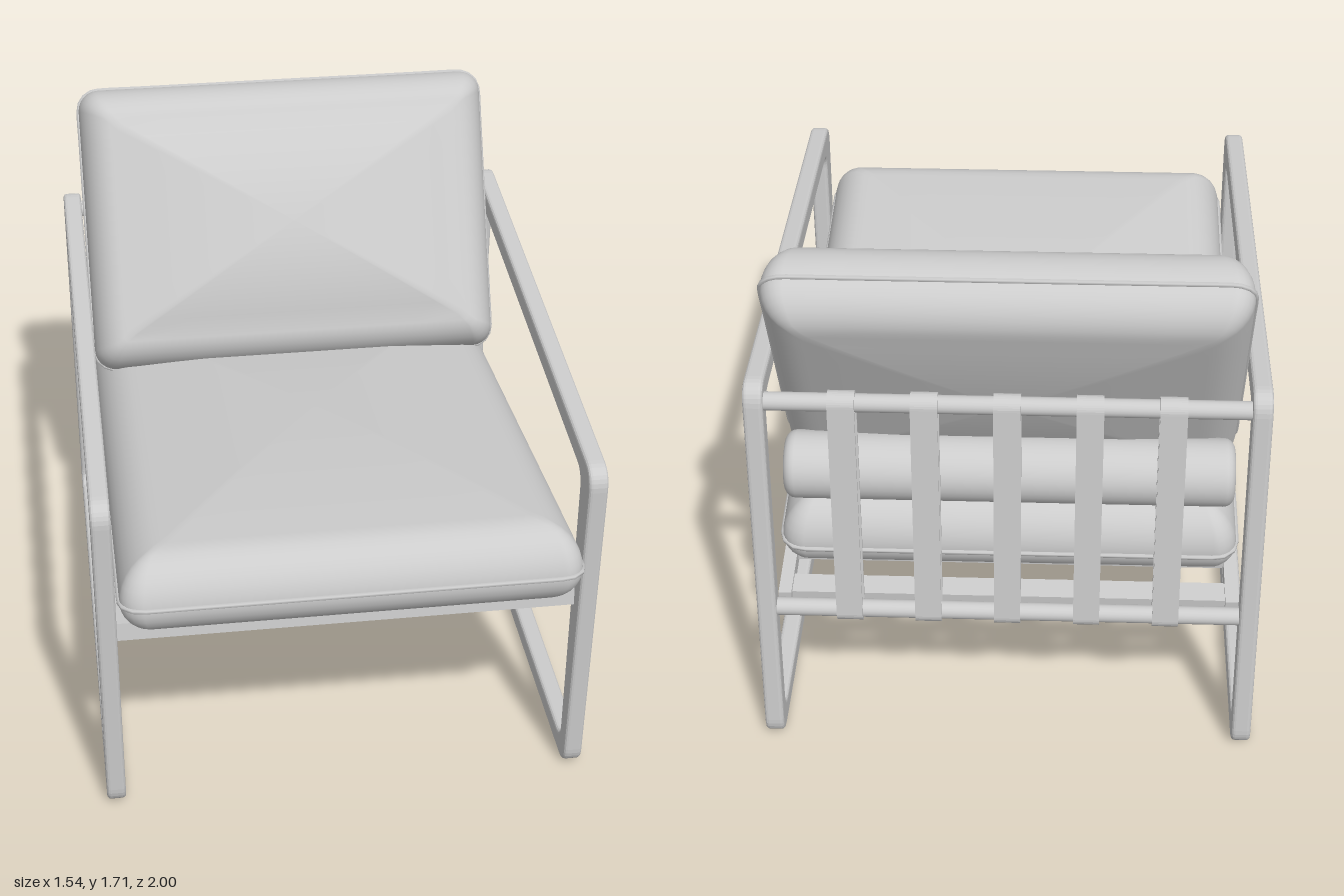
import * as THREE from 'three';

const grey = new THREE.MeshStandardMaterial({ color: 0xcccccc });
grey.name = 'light grey';

function add(parent, name, geometry, x = 0, y = 0, z = 0, tilt = 0) {
  const mesh = new THREE.Mesh(geometry, grey);
  mesh.name = name;
  mesh.position.set(x, y, z);
  mesh.rotation.x = tilt;
  parent.add(mesh);
  return mesh;
}

// Polygon of [z, y] corners with rounded corners, traced onto a path
function roundPolygon(path, pts, r) {
  const v = pts.map(p => new THREE.Vector2(...p));
  v.forEach((c, i) => {
    const prev = v[(i + v.length - 1) % v.length], next = v[(i + 1) % v.length];
    const a = prev.clone().sub(c).setLength(r).add(c);
    const b = next.clone().sub(c).setLength(r).add(c);
    if (i) path.lineTo(a.x, a.y); else path.moveTo(a.x, a.y);
    path.quadraticCurveTo(c.x, c.y, b.x, b.y);
  });
  path.closePath();
  return path;
}

// Extrude a (z, y) profile along x, centred on x = 0
function extrudeX(shape, width, bevel) {
  const geometry = new THREE.ExtrudeGeometry(shape, {
    depth: width - 2 * bevel, bevelEnabled: bevel > 0, bevelThickness: bevel,
    bevelSize: bevel, bevelOffset: -bevel, bevelSegments: 3, curveSegments: 8,
  });
  geometry.translate(0, 0, -(width - 2 * bevel) / 2);
  return geometry.rotateY(-Math.PI / 2);
}

// Rounded rectangle in the xz plane
function rectLoop(w, l, r) {
  const pts = [];
  const corners = [[1, 1], [-1, 1], [-1, -1], [1, -1]];
  corners.forEach(([sx, sz], q) => {
    const arc = [];
    for (let k = 0; k <= 6; k++) {
      const a = (q + k / 6) * Math.PI / 2;
      arc.push([sx * (w - r) + r * Math.cos(a), sz * (l - r) + r * Math.sin(a)]);
    }
    pts.push(...arc);
    // intermediate points along the straight edge to the next corner
    const [nx, nz] = corners[(q + 1) % 4];
    const a = (q + 1) * Math.PI / 2, end = arc[6];
    const next = [nx * (w - r) + r * Math.cos(a), nz * (l - r) + r * Math.sin(a)];
    for (let k = 1; k < 8; k++) {
      pts.push([end[0] + (next[0] - end[0]) * k / 8, end[1] + (next[1] - end[1]) * k / 8]);
    }
  });
  return pts;
}

// Stuffed cushion: rounded rim, crowned faces and piping round the seam
function cushion(name, { w, l, edge, corner, top, bottom }) {
  const group = new THREE.Group();
  group.name = name;
  const half = ({ t, crown }, sign) => {
    const rows = [];
    for (let k = 0; k <= 8; k++) {
      const a = k / 8 * Math.PI / 2, d = edge * (1 - Math.cos(a));
      const y = sign * t * Math.sin(a);
      rows.push(rectLoop(w - d, l - d, Math.max(corner - d * 0.6, 0.02)).map(p => [p[0], y, p[1]]));
    }
    const rim = rows[8];
    for (let k = 1; k <= 8; k++) {
      const s = 1 - k / 8;
      rows.push(rim.map(p => [p[0] * s, sign * (t + crown * (1 - s * s)), p[2] * s]));
    }
    return rows;
  };
  const rows = [...half(bottom, -1).reverse(), ...half(top, 1).slice(1)];
  const n = rows[0].length, index = [];
  for (let i = 0; i < rows.length - 1; i++) {
    for (let j = 0; j < n; j++) {
      const a = i * n + j, b = i * n + (j + 1) % n;
      index.push(a, a + n, b, b, a + n, b + n);
    }
  }
  const geometry = new THREE.BufferGeometry();
  geometry.setAttribute('position', new THREE.Float32BufferAttribute(rows.flat(2), 3));
  geometry.setIndex(index);
  geometry.computeVertexNormals();
  add(group, name + 'Body', geometry);

  const seam = rectLoop(w, l, corner).map(p => new THREE.Vector3(p[0], 0, p[1]));
  add(group, name + 'Piping',
    new THREE.TubeGeometry(new THREE.CatmullRomCurve3(seam, true), 160, 0.008, 6, true));
  return group;
}

export function createModel() {
  const chair = new THREE.Group();
  chair.name = 'loungeChair';

  // Looped side frames: leg, armrest, leg and floor runner in one
  const frame = roundPolygon(new THREE.Shape(),
    [[0.845, 0], [0.905, 1.18], [-0.93, 1.318], [-1, 0]], 0.07);
  frame.holes.push(roundPolygon(new THREE.Path(),
    [[0.777, 0.072], [0.787, 1.112], [-0.862, 1.238], [-0.928, 0.072]], 0.05));
  const frameGeometry = extrudeX(frame, 0.06, 0.012);
  for (const side of [1, -1]) {
    add(chair, side > 0 ? 'leftSideFrame' : 'rightSideFrame', frameGeometry, side * 0.74);
  }

  // Sloping seat base: side rails, front rail and cross slats
  const slope = 0.101, tilt = -Math.atan(slope);
  const baseY = z => 0.502 + (z + 0.9) * slope;
  for (const side of [1, -1]) {
    add(chair, side > 0 ? 'leftSeatRail' : 'rightSeatRail',
      new THREE.BoxGeometry(0.04, 0.052, 1.72), side * 0.69, baseY(-0.05), -0.05, tilt);
  }
  add(chair, 'frontSeatRail', new THREE.BoxGeometry(1.42, 0.06, 0.05), 0, baseY(0.8), 0.8, tilt);
  for (let i = 0; i < 10; i++) {
    const z = 0.66 - i * 0.168;
    add(chair, 'seatSlat', new THREE.BoxGeometry(1.35, 0.03, 0.075), 0, baseY(z), z, tilt);
  }

  // Back rails between the side frames
  const upper = [-0.896, 1.25], lower = [-0.936, 0.497];
  const railGeometry = new THREE.CylinderGeometry(0.028, 0.028, 1.44, 20).rotateZ(Math.PI / 2);
  add(chair, 'upperBackRail', railGeometry, 0, upper[1], upper[0]);
  add(chair, 'lowerBackRail', railGeometry, 0, lower[1], lower[0]);

  // Straps looped round both back rails
  const stadium = (path, r) => {
    path.absarc(upper[0], upper[1], r, 0, Math.PI, false);
    path.absarc(lower[0], lower[1], r, Math.PI, Math.PI * 2, false);
    path.closePath();
    return path;
  };
  const strap = stadium(new THREE.Shape(), 0.036);
  strap.holes.push(stadium(new THREE.Path(), 0.027));
  const strapGeometry = extrudeX(strap, 0.08, 0);
  for (let i = -2; i <= 2; i++) add(chair, 'backStrap', strapGeometry, i * 0.242);

  // Seat cushion
  const seat = cushion('seatCushion', {
    w: 0.7, l: 0.932, edge: 0.14, corner: 0.07,
    top: { t: 0.15, crown: 0.035 }, bottom: { t: 0.118, crown: 0.01 },
  });
  seat.position.set(0, 0.768, 0.067);
  seat.rotation.x = -0.112;
  chair.add(seat);

  // Leaning back cushion, plumper at the front
  const back = cushion('backCushion', {
    w: 0.7, l: 0.482, edge: 0.125, corner: 0.07,
    top: { t: 0.155, crown: 0.075 }, bottom: { t: 0.125, crown: 0.025 },
  });
  back.position.set(0, 1.26, -0.692);
  back.rotation.x = 1.103;
  chair.add(back);

  // Round bolster behind the back cushion
  const profile = [[0, -0.69]];
  for (let k = 0; k <= 5; k++) {
    const a = k / 5 * Math.PI / 2;
    profile.push([0.07 + 0.035 * Math.sin(a), -0.65 - 0.035 * Math.cos(a)]);
  }
  profile.push(...profile.map(([r, y]) => [r, -y]).reverse());
  add(chair, 'bolster',
    new THREE.LatheGeometry(profile.map(p => new THREE.Vector2(...p)), 32).rotateZ(Math.PI / 2),
    0, 0.902, -0.74);

  return chair;
}
